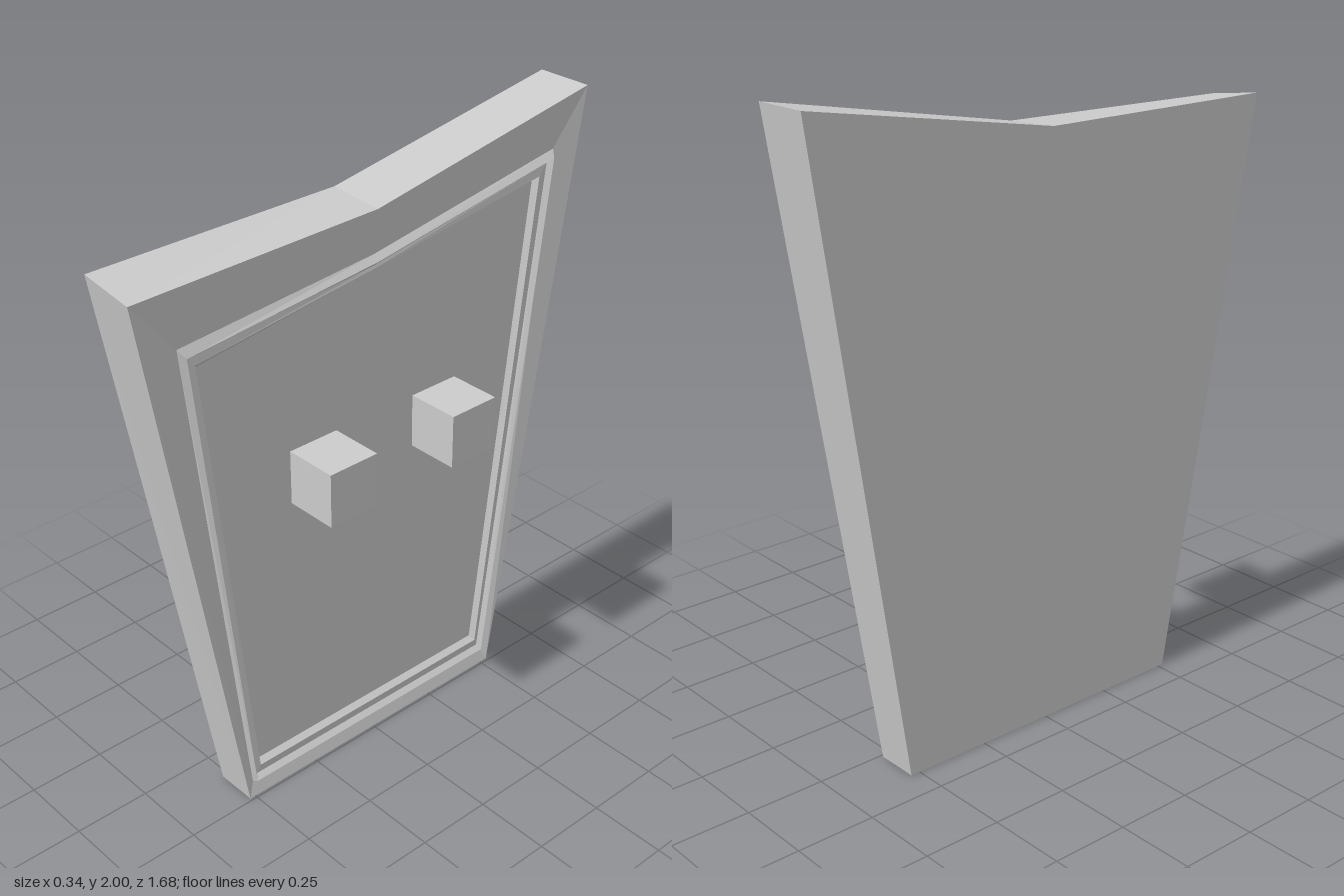
import * as THREE from 'three';

// x of the slightly flaring front and back planes at height y
const frontX = y => -0.009 + 0.012 * y;
const backX = y => -0.148 - 0.011 * y;

// Ring of points from [z, y] corners, set off from a plane
const ring = (corners, plane, depth = 0) =>
  corners.map(([z, y]) => new THREE.Vector3(plane(y) + depth, y, z));

// A ring collapsed to one point, used to close an end
const cap = (corners, plane, depth = 0) =>
  ring(corners.map(() => [0, 0.9]), plane, depth);

// Join consecutive rings with quads
function loft(rings) {
  const pos = [];
  for (let i = 0; i < rings.length - 1; i++) {
    const p = rings[i], q = rings[i + 1], n = p.length;
    for (let j = 0; j < n; j++) {
      const k = (j + 1) % n;
      for (const v of [p[j], p[k], q[k], p[j], q[k], q[j]]) pos.push(v.x, v.y, v.z);
    }
  }
  const g = new THREE.BufferGeometry();
  g.setAttribute('position', new THREE.Float32BufferAttribute(pos, 3));
  g.computeVertexNormals();
  return g;
}

export function createModel() {
  const group = new THREE.Group();
  const mat = new THREE.MeshStandardMaterial({ color: 0xcccccc, flatShading: true });
  const add = (name, geometry) => {
    const mesh = new THREE.Mesh(geometry, mat);
    mesh.name = name;
    group.add(mesh);
    return mesh;
  };

  // Corners as [z, y]: bottom, far top, middle of the top, near top
  const back = [[0.52, 0], [-0.53, 0], [-0.84, 2], [0, 1.86], [0.84, 1.86]];
  const outer = [[0.52, 0], [-0.53, 0], [-0.84, 2], [0, 1.85], [0.84, 1.835]];
  const frame = [[0.497, 0.05], [-0.507, 0.05], [-0.72, 1.828], [0, 1.71], [0.69, 1.655]];
  const ridge = [[0.49, 0.057], [-0.5, 0.057], [-0.71, 1.805], [0, 1.69], [0.67, 1.628]];
  const groove = [[0.48, 0.073], [-0.492, 0.073], [-0.695, 1.79], [0, 1.675], [0.66, 1.62]];
  const lip = [[0.465, 0.1], [-0.48, 0.1], [-0.665, 1.755], [0, 1.665], [0.635, 1.59]];
  const panel = [[0.455, 0.115], [-0.47, 0.115], [-0.652, 1.742], [0, 1.655], [0.622, 1.572]];

  // Slab body with the frame sloping in to the moulding
  add('doorSlab', loft([
    cap(back, backX), ring(back, backX), ring(outer, frontX), ring(frame, frontX, -0.014),
  ]));

  // Stepped moulding around the panel
  add('moulding', loft([
    ring(frame, frontX, -0.014), ring(ridge, frontX, 0.002), ring(groove, frontX, -0.014),
    ring(lip, frontX, -0.012), ring(panel, frontX, -0.03),
  ]));

  // Recessed centre panel
  add('centrePanel', loft([ring(panel, frontX, -0.03), cap(panel, frontX, -0.03)]));

  // Pair of cube knobs
  for (const [name, z] of [['leftKnob', -0.248], ['rightKnob', 0.23]])
    add(name, new THREE.BoxGeometry(0.175, 0.175, 0.175)).position.set(0.078, 1.105, z);

  return group;
}
